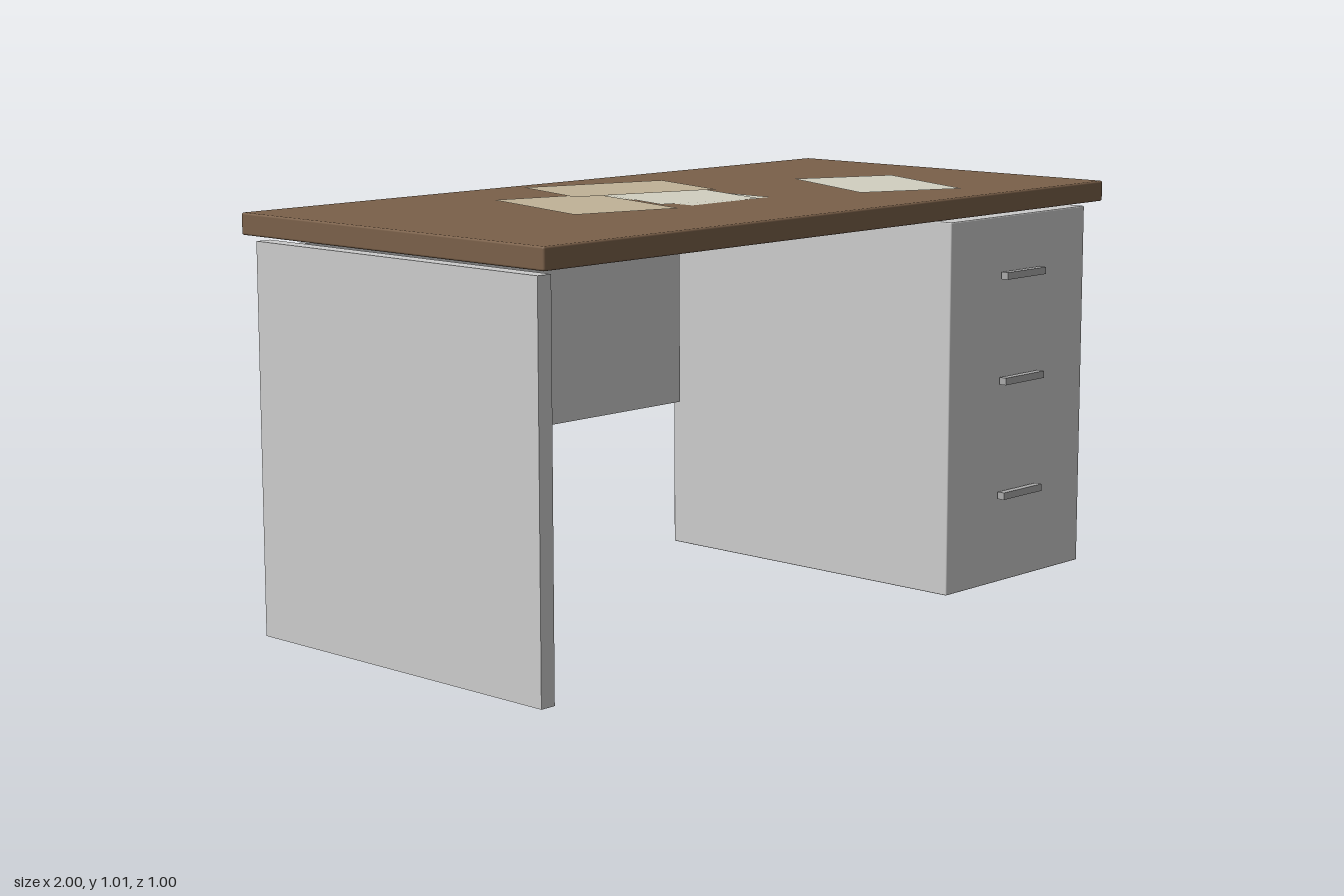
import * as THREE from 'three';
import { RoundedBoxGeometry } from 'three/addons/geometries/RoundedBoxGeometry.js';

export function createModel() {
  const desk = new THREE.Group();
  desk.name = 'desk';

  const grey = new THREE.MeshStandardMaterial({ color: 0xcccccc });
  const metal = new THREE.MeshStandardMaterial({ color: 0xaaaaaa });
  const wood = new THREE.MeshStandardMaterial({ color: 0x7a6049 });
  const cream = new THREE.MeshStandardMaterial({ color: 0xd2d0c0, side: THREE.DoubleSide });
  const tan = new THREE.MeshStandardMaterial({ color: 0xc0b297, side: THREE.DoubleSide });

  // Box given by its extents on each axis, with an optional softened edge
  function box(name, [x0, x1], [y0, y1], [z0, z1], material, edge = 0) {
    const size = [x1 - x0, y1 - y0, z1 - z0];
    const geometry = edge
      ? new RoundedBoxGeometry(...size, 2, edge)
      : new THREE.BoxGeometry(...size);
    const mesh = new THREE.Mesh(geometry, material);
    mesh.name = name;
    mesh.position.set((x0 + x1) / 2, (y0 + y1) / 2, (z0 + z1) / 2);
    desk.add(mesh);
  }

  // Worktop and its supports
  box('worktop', [-1, 1], [0.948, 1], [-0.5, 0.5], wood, 0.005);
  box('drawerCabinet', [0.415, 0.97], [0.002, 0.935], [-0.465, 0.465], grey, 0.003);
  box('sidePanel', [-0.985, -0.945], [0, 0.935], [-0.465, 0.465], grey);
  box('backPanel', [-0.935, 0.4], [0.39, 0.922], [-0.455, -0.43], grey);

  // Drawer handles, standing just clear of the cabinet front
  for (const y of [0.788, 0.522, 0.229]) {
    box('drawerHandle', [0.61, 0.77], [y - 0.009, y + 0.009], [0.473, 0.493], metal);
  }

  // Loose sheets: x, z, height, turn about y, material
  const sheets = [
    [-0.046, -0.035, 1.001, 0, cream],
    [-0.036, -0.052, 1.002, -0.29, cream],
    [-0.35, -0.03, 1.0035, -0.27, tan],
    [-0.036, -0.225, 1.0055, -0.303 + Math.PI / 2, tan],
    [0.481, 0.174, 1.0075, -0.43, cream],
  ];
  const sheetGeometry = new THREE.PlaneGeometry(0.277, 0.393).rotateX(-Math.PI / 2);
  for (const [x, z, y, turn, material] of sheets) {
    const sheet = new THREE.Mesh(sheetGeometry, material);
    sheet.name = 'paperSheet';
    sheet.position.set(x, y, z);
    sheet.rotation.y = turn;
    desk.add(sheet);
  }

  return desk;
}
